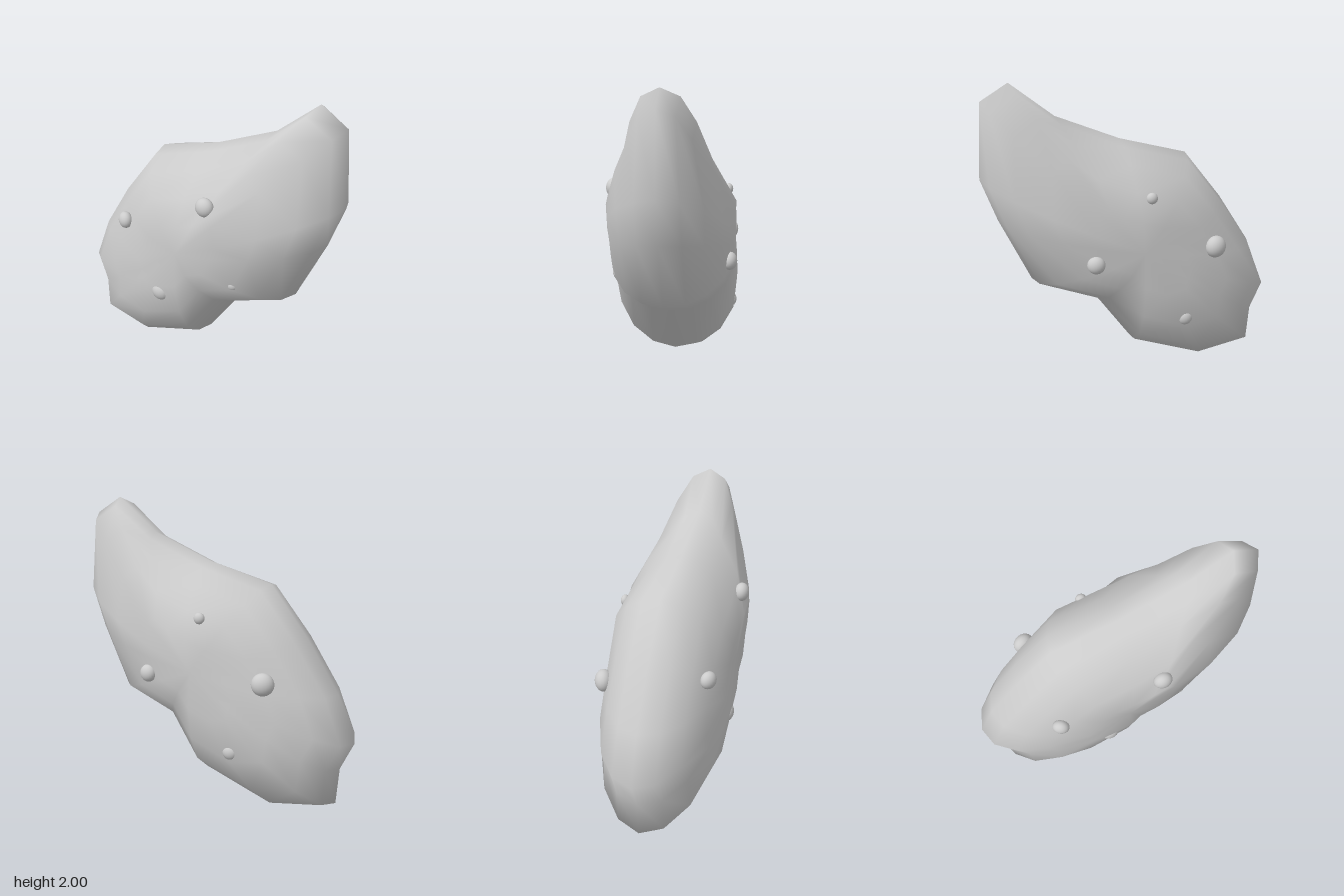
import * as THREE from 'three';

const material = new THREE.MeshStandardMaterial({ color: 0xcccccc });
const BANDS = 10;
const CENTRE_Y = 0.95;

// Outline in the middle plane, anticlockwise from the tip: x, y
const outline = [
  [0.77, 2.0], [0.49, 1.78], [0.07, 1.61], [-0.38, 1.49],
  [-0.64, 1.16], [-0.86, 0.82], [-0.98, 0.51], [-0.89, 0.32],
  [-0.87, 0.07], [-0.49, 0.0], [0.01, 0.18], [0.26, 0.53],
  [0.68, 0.69], [0.88, 1.12], [0.98, 1.40], [0.95, 1.89],
];

// Half depth at each height: y, depth
const depths = [
  [0, 0.5], [0.3, 0.5], [0.65, 0.44], [0.95, 0.42],
  [1.3, 0.44], [1.45, 0.40], [1.65, 0.30], [2, 0.38],
];

function depthAt(y) {
  const i = Math.max(1, depths.findIndex(([top]) => y <= top));
  const [y0, d0] = depths[i - 1], [y1, d1] = depths[i];
  return THREE.MathUtils.mapLinear(y, y0, y1, d0, d1);
}

// Lumpy body: the outline shrinks in rounded steps towards both faces
function bodyGeometry() {
  const positions = [], index = [];
  const sides = outline.length;
  for (let i = 1; i < BANDS; i++) {
    const a = (i / BANDS) * Math.PI;
    const size = Math.sin(a);
    for (const [ox, oy] of outline) {
      const y = CENTRE_Y + (oy - CENTRE_Y) * size;
      positions.push(ox * size, y, Math.cos(a) * depthAt(y));
    }
  }
  // Middle of the front and back faces
  const front = positions.length / 3;
  positions.push(0, CENTRE_Y, 0.4, 0, CENTRE_Y, -0.4);

  const last = (BANDS - 2) * sides;
  for (let j = 0; j < sides; j++) {
    const k = (j + 1) % sides;
    index.push(front, j, k);
    for (let row = 0; row < last; row += sides) {
      const a = row + j, b = a + sides, c = row + k, d = c + sides;
      index.push(a, b, c, c, b, d);
    }
    index.push(front + 1, last + k, last + j);
  }
  const geometry = new THREE.BufferGeometry();
  geometry.setAttribute('position', new THREE.Float32BufferAttribute(positions, 3));
  geometry.setIndex(index);
  geometry.computeVertexNormals();
  return geometry;
}

// Buds: x, y, z, radius, turn about y
const buds = [
  [0.22, 1.34, 0.375, 0.062, 0.0],
  [-0.465, 1.035, 0.335, 0.057, -0.5],
  [-0.14, 0.615, 0.375, 0.07, 0.0],
  [0.40, 0.825, 0.325, 0.037, 0.4],
  [-0.49, 0.93, -0.35, 0.073, 0.35],
  [-0.05, 1.30, -0.355, 0.037, 0.0],
  [0.32, 0.90, -0.385, 0.058, -0.2],
  [-0.28, 0.455, -0.37, 0.054, 0.0],
];

export function createModel() {
  const group = new THREE.Group();
  group.name = 'lumpyTuber';

  const body = new THREE.Mesh(bodyGeometry(), material);
  body.name = 'body';
  group.add(body);

  // Slightly flattened buds sunk into both faces
  const budGeometry = new THREE.SphereGeometry(1, 20, 14);
  buds.forEach(([x, y, z, r, turn], i) => {
    const bud = new THREE.Mesh(budGeometry, material);
    bud.name = `bud${i + 1}`;
    bud.position.set(x, y, z);
    bud.rotation.y = turn;
    bud.scale.set(r, r, r * 0.8);
    group.add(bud);
  });
  return group;
}
